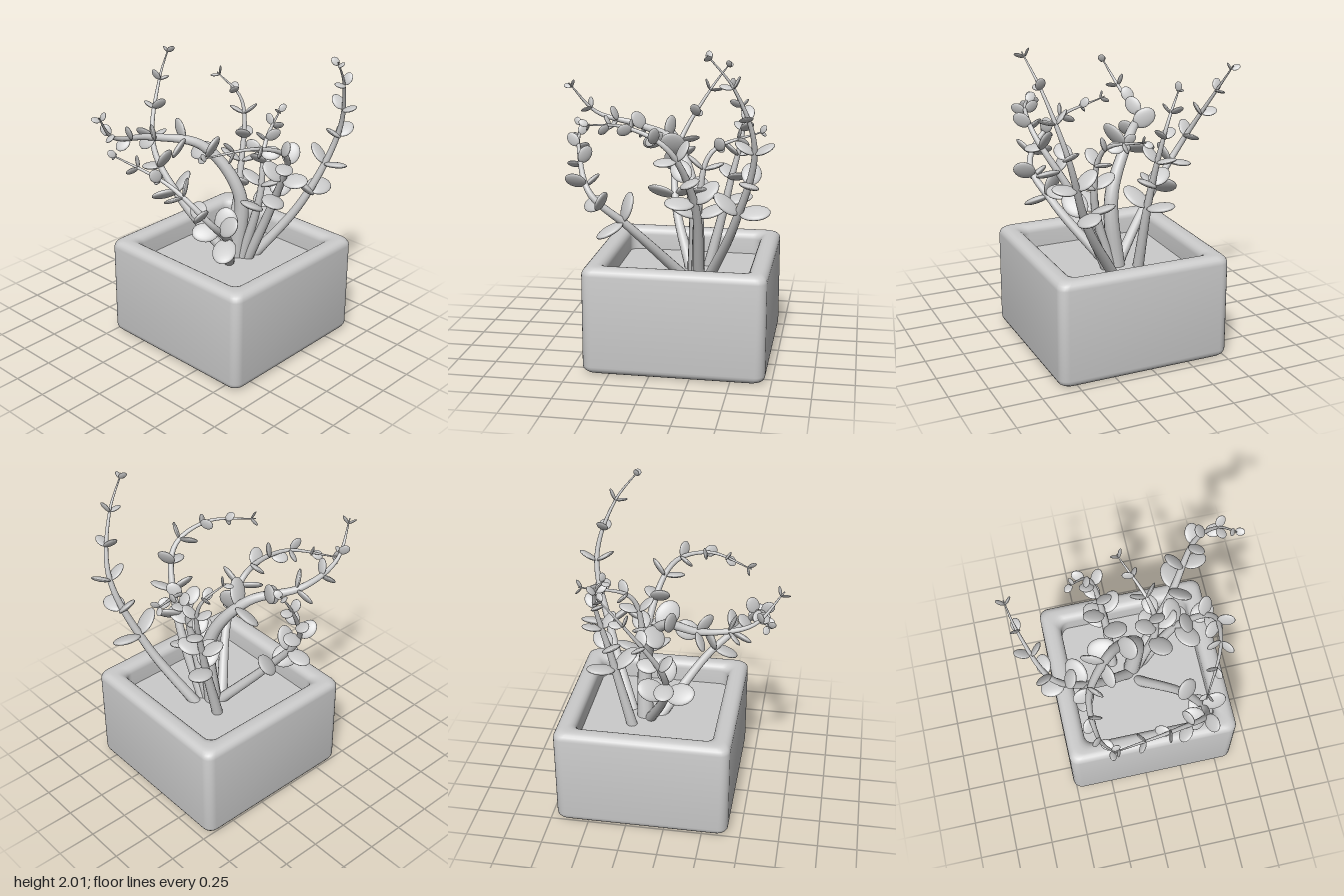
import * as THREE from 'three';
import { toCreasedNormals } from 'three/addons/utils/BufferGeometryUtils.js';

const material = new THREE.MeshStandardMaterial({ color: 0xcccccc });
const SOIL_Y = 0.53;

// Rounded-square rings lofted along a profile of [inset, height]
function loftSquare(half, corner, profile) {
  const pos = [], idx = [], steps = 6, n = 4 * (steps + 1);
  for (const [inset, y] of profile) {
    const r = Math.min(corner, half - inset);
    const h = half - inset - r;
    for (let c = 0; c < 4; c++) {
      const mid = (c + 0.5) * Math.PI / 2;
      for (let s = 0; s <= steps; s++) {
        const a = (c + s / steps) * Math.PI / 2;
        pos.push(Math.sign(Math.cos(mid)) * h + r * Math.cos(a), y,
          Math.sign(Math.sin(mid)) * h + r * Math.sin(a));
      }
    }
  }
  for (let j = 0; j < profile.length - 1; j++) {
    for (let i = 0; i < n; i++) {
      const a = j * n + i, b = j * n + (i + 1) % n;
      idx.push(a, a + n, b, b, a + n, b + n);
    }
  }
  const g = new THREE.BufferGeometry();
  g.setAttribute('position', new THREE.Float32BufferAttribute(pos, 3));
  g.setIndex(idx);
  return toCreasedNormals(g, 0.6);
}

// Quarter-round for the pot profile
function round(cx, cy, r, from, to) {
  return Array.from({ length: 6 }, (_, i) => {
    const a = THREE.MathUtils.degToRad(from + (to - from) * i / 5);
    return [cx + r * Math.cos(a), cy + r * Math.sin(a)];
  });
}

function makePot() {
  const pot = new THREE.Group();
  pot.name = 'pot';
  const profile = [
    [0.56, 0],
    ...round(0.05, 0.05, 0.05, 270, 180),
    ...round(0.05, 0.63, 0.05, 180, 90),
    ...round(0.075, 0.63, 0.05, 90, 0),
    [0.125, SOIL_Y - 0.04],
  ];
  const shell = new THREE.Mesh(loftSquare(0.565, 0.06, profile), material);
  shell.name = 'potShell';
  const soil = new THREE.Mesh(new THREE.BoxGeometry(0.89, 0.04, 0.89), material);
  soil.name = 'soil';
  soil.position.y = SOIL_Y - 0.02;
  pot.add(shell, soil);
  pot.position.set(0.05, 0, -0.147);
  return pot;
}

// Tube narrowing towards the tip
function taperedTube(curve, radius) {
  const segs = 48, sides = 12;
  const g = new THREE.TubeGeometry(curve, segs, 1, sides);
  const p = g.attributes.position, v = new THREE.Vector3();
  for (let i = 0; i <= segs; i++) {
    const c = curve.getPointAt(i / segs);
    const r = THREE.MathUtils.lerp(radius, 0.004, Math.pow(i / segs, 1.1));
    for (let j = 0; j <= sides; j++) {
      const k = i * (sides + 1) + j;
      v.fromBufferAttribute(p, k).sub(c).multiplyScalar(r).add(c);
      p.setXYZ(k, v.x, v.y, v.z);
    }
  }
  return g;
}

const leafGeometry = new THREE.SphereGeometry(0.5, 20, 12);

// Thick oval leaf growing outwards and up from a stem point
function makeLeaf(base, tangent, radial, size, lift) {
  const axis = radial.clone().multiplyScalar(Math.cos(lift)).addScaledVector(tangent, Math.sin(lift));
  const normal = tangent.clone().multiplyScalar(Math.cos(lift)).addScaledVector(radial, -Math.sin(lift));
  const side = axis.clone().cross(normal);
  const leaf = new THREE.Mesh(leafGeometry, material);
  leaf.name = 'leaf';
  leaf.quaternion.setFromRotationMatrix(new THREE.Matrix4().makeBasis(axis, normal, side));
  leaf.scale.set(size, size * 0.24, size * 0.78);
  leaf.position.copy(base).addScaledVector(axis, size * 0.52);
  return leaf;
}

// Stem with crossed pairs of leaves that shrink towards the tip
function makeBranch(name, points, { radius = 0.036, first = 0.36, pairs = 6, roll = 0 } = {}) {
  const branch = new THREE.Group();
  branch.name = name;
  const curve = new THREE.CatmullRomCurve3(points.map(p => new THREE.Vector3(...p)), false, 'centripetal');
  const stem = new THREE.Mesh(taperedTube(curve, radius), material);
  stem.name = 'stem';
  branch.add(stem);
  for (let i = 0; i < pairs; i++) {
    const f = i / (pairs - 1), t = first + (0.98 - first) * f;
    const base = curve.getPointAt(t), tangent = curve.getTangentAt(t);
    const size = THREE.MathUtils.lerp(0.19, 0.06, Math.pow(f, 0.85));
    const ref = new THREE.Vector3(0, 0, 1).projectOnPlane(tangent).normalize();
    for (const half of [0, Math.PI]) {
      const radial = ref.clone().applyAxisAngle(tangent, roll + i * Math.PI / 2 + half);
      branch.add(makeLeaf(base, tangent, radial, size, 0.4 + 0.3 * f));
    }
  }
  return branch;
}

export function createModel() {
  const model = new THREE.Group();
  model.name = 'pottedSucculent';
  model.add(makePot());
  model.add(makeBranch('rightBranch',
    [[0.02, 0.5, -0.18], [-0.3, 0.9, -0.02], [-0.53, 1.22, 0], [-0.67, 1.6, -0.2], [-0.71, 1.78, -0.33]]));
  model.add(makeBranch('mainBranch',
    [[0.03, 0.5, -0.21], [0.06, 1, -0.2], [-0.13, 1.32, -0.05], [-0.325, 1.4, 0.22], [-0.33, 1.48, 0.52],
      [-0.26, 1.68, 0.69]], { radius: 0.056, first: 0.45, roll: 1.2 }));
  model.add(makeBranch('frontBranch',
    [[0.05, 0.5, -0.12], [0.31, 0.87, 0.17], [0.38, 1.09, 0.4], [0.16, 1.31, 0.52], [-0.25, 1.42, 0.61]],
    { pairs: 7, roll: 0.8 }));
  model.add(makeBranch('leftBranch',
    [[0.1, 0.5, -0.24], [0.34, 1.05, -0.24], [0.53, 1.42, -0.1], [0.5, 1.53, 0.14], [0.34, 1.51, 0.44]],
    { pairs: 7, roll: 0.5 }));
  model.add(makeBranch('tallBranch',
    [[0.09, 0.5, -0.3], [0.35, 0.93, -0.49], [0.525, 1.43, -0.62], [0.63, 1.79, -0.51], [0.69, 1.99, -0.36]]));
  model.add(makeBranch('backRightBranch',
    [[-0.09, 0.5, -0.27], [-0.11, 1.05, -0.4], [-0.18, 1.5, -0.48], [-0.31, 1.69, -0.38]], { roll: 0.6 }));
  model.add(makeBranch('backBranch',
    [[0.07, 0.5, -0.22], [0.2, 1.02, -0.25], [0.17, 1.33, -0.32], [0.03, 1.45, -0.63]], { roll: 0.2 }));
  return model;
}
